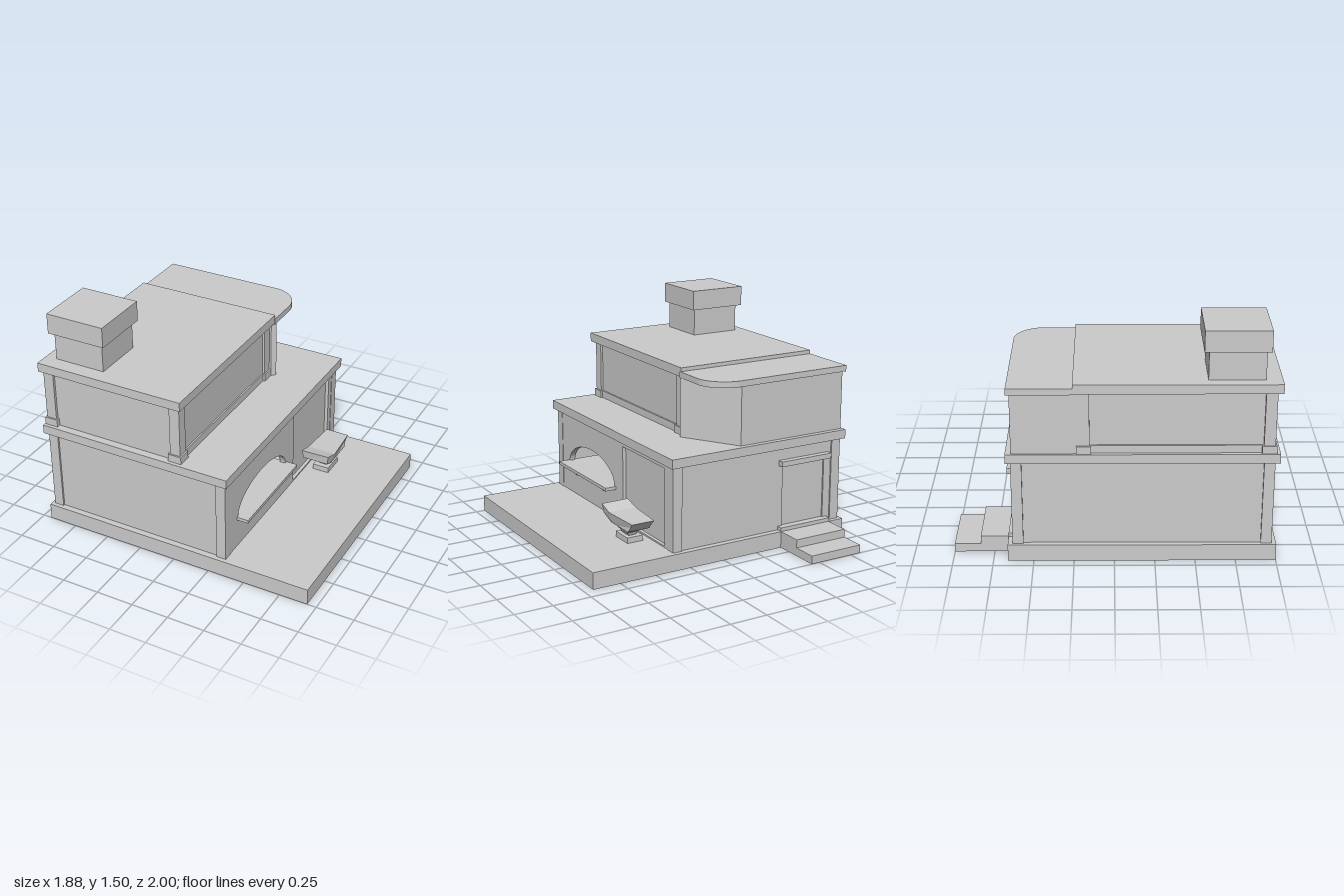
import * as THREE from 'three';

const material = new THREE.MeshStandardMaterial({ color: 0xcccccc, flatShading: true, side: THREE.DoubleSide });

export function createModel() {
  const model = new THREE.Group();
  model.name = 'building';

  const add = (name, geometry) => {
    const mesh = new THREE.Mesh(geometry, material);
    mesh.name = name;
    model.add(mesh);
    return mesh;
  };
  // Box given by its limits on each axis
  const box = (name, x0, x1, y0, y1, z0, z1) => {
    const g = new THREE.BoxGeometry(x1 - x0, y1 - y0, z1 - z0);
    g.translate((x0 + x1) / 2, (y0 + y1) / 2, (z0 + z1) / 2);
    return add(name, g);
  };
  const rectangle = (target, u0, u1, v0, v1) => {
    target.moveTo(u0, v0).lineTo(u1, v0).lineTo(u1, v1).lineTo(u0, v1).closePath();
    return target;
  };
  const extrude = (shape, depth) =>
    new THREE.ExtrudeGeometry(shape, { depth, bevelEnabled: false, curveSegments: 16 });
  // Floor plan (x, z) raised from y0 to y1
  const plan = (name, shape, y0, y1) =>
    add(name, extrude(shape, y1 - y0).rotateX(Math.PI / 2).translate(0, y1, 0));

  // Ground slab and back steps
  box('groundSlab', -0.94, 0.94, 0, 0.11, -0.66, 1);
  box('lowerStep', -0.825, -0.44, 0, 0.055, -1, -0.66);
  box('upperStep', -0.825, -0.44, 0, 0.11, -0.835, -0.66);

  // Lower storey: plain walls
  box('lowerFrontWall', -0.9, 0.33, 0.11, 0.67, 0.92, 0.96);
  box('lowerLeftSideWall', -0.905, -0.87, 0.11, 0.67, -0.61, 0.95);

  // Service wall with the arched hatch and the shop window (u = -z)
  const side = rectangle(new THREE.Shape(), -0.965, 0.625, 0.11, 0.67);
  const arch = new THREE.Path();
  arch.moveTo(-0.14, 0.33);
  arch.absellipse(-0.47, 0.33, 0.33, 0.163, 0, Math.PI, false);
  arch.closePath();
  side.holes.push(arch, rectangle(new THREE.Path(), -0.02, 0.52, 0.12, 0.635));
  add('serviceWall', extrude(side, 0.04).rotateY(Math.PI / 2).translate(0.318, 0, 0));
  box('shopWindow', 0.32, 0.335, 0.12, 0.635, -0.52, 0.02);

  // Back wall with a door recess
  const back = rectangle(new THREE.Shape(), -0.9, 0.33, 0.11, 0.67);
  back.holes.push(rectangle(new THREE.Path(), -0.8, -0.47, 0.125, 0.56));
  add('lowerBackWall', extrude(back, 0.03).translate(0, 0, -0.62));
  box('backDoor', -0.8, -0.47, 0.125, 0.56, -0.61, -0.595);
  box('doorCanopy', -0.83, -0.44, 0.55, 0.585, -0.66, -0.61);
  box('doorThreshold', -0.83, -0.44, 0.11, 0.135, -0.66, -0.61);

  // Lower corner pilasters
  for (const x of [-0.92, 0.295])
    for (const z of [-0.63, 0.905])
      box('lowerPilaster', x, x + 0.066, 0.11, 0.67, z, z + 0.067);

  // Oven inside the hatch
  box('ovenCounter', -0.1, 0.33, 0.29, 0.33, 0.12, 0.82);
  box('ovenBack', -0.14, -0.1, 0.29, 0.55, 0.1, 0.84);
  box('ovenBlock', -0.1, 0.08, 0.33, 0.39, 0.33, 0.82);

  // Serving shelf on two brackets
  box('servingShelf', 0.35, 0.435, 0.31, 0.332, 0.12, 0.815);
  const bracket = new THREE.Shape([[0.355, 0.26], [0.37, 0.26], [0.41, 0.31], [0.355, 0.31]]
    .map(p => new THREE.Vector2(...p)));
  for (const z of [0.26, 0.65]) add('shelfBracket', extrude(bracket, 0.032).translate(0, 0, z));

  // Floor slab of the upper storey
  box('terraceSlab', -0.94, 0.385, 0.67, 0.73, -0.66, 1);

  // Upper storey with corner pilasters, their feet and side skirtings
  box('upperRoom', -0.905, 0.035, 0.73, 1.125, -0.21, 0.95);
  for (const x of [-0.925, -0.02])
    for (const z of [-0.22, 0.897]) {
      box('upperPilaster', x, x + 0.07, 0.73, 1.125, z, z + 0.07);
      box('pilasterFoot', x - 0.01, x + 0.08, 0.73, 0.78, z - 0.01, z + 0.08);
    }
  for (const x of [-0.915, 0.03]) box('sideSkirting', x, x + 0.015, 0.73, 0.78, -0.15, 0.9);
  box('mainRoof', -0.94, 0.075, 1.125, 1.185, -0.25, 1);

  // Rear room with a slanted wall beneath a rounded canopy roof
  const rear = new THREE.Shape([[-0.925, -0.2], [-0.925, -0.625], [-0.14, -0.625],
    [0.085, -0.255], [0.06, -0.225], [0.03, -0.225]].map(p => new THREE.Vector2(...p)));
  plan('rearRoom', rear, 0.73, 1.12);
  const canopy = new THREE.Shape();
  canopy.moveTo(-0.94, -0.24).lineTo(-0.94, -0.645).lineTo(-0.12, -0.645);
  canopy.absarc(-0.12, -0.445, 0.2, -Math.PI / 2, 0, false);
  canopy.lineTo(0.08, -0.24).closePath();
  plan('rearRoof', canopy, 1.12, 1.16);

  // Chimney
  box('chimneyStack', -0.865, -0.52, 1.185, 1.37, 0.557, 0.9);
  box('chimneyCap', -0.895, -0.495, 1.37, 1.505, 0.527, 0.925);

  // Faceted basin: stacked six-sided rings, each corner as [x, y, z]
  const ring = (x0, x1, z0, z1, y) => [[x0, y, z1], [x1, y, z1], [x1, y, (z0 + 2 * z1) / 3],
    [x1, y, z0], [x0, y, z0], [x0, y, (z0 + 2 * z1) / 3]];
  const rings = [
    ring(0.445, 0.495, -0.3, -0.22, 0.145),
    ring(0.43, 0.51, -0.31, -0.21, 0.17),
    ring(0.42, 0.525, -0.34, -0.19, 0.19),
    ring(0.395, 0.55, -0.39, -0.17, 0.207),
    [[0.385, 0.25, -0.085], [0.56, 0.25, -0.085], [0.56, 0.225, -0.18],
      [0.545, 0.245, -0.42], [0.395, 0.245, -0.42], [0.38, 0.225, -0.18]],
    [[0.375, 0.31, -0.075], [0.568, 0.31, -0.08], [0.572, 0.28, -0.18],
      [0.55, 0.273, -0.445], [0.39, 0.273, -0.445], [0.375, 0.28, -0.18]],
  ];
  const index = [];
  for (let r = 0; r < rings.length - 1; r++)
    for (let i = 0; i < 6; i++) {
      const a = r * 6 + i, b = r * 6 + (i + 1) % 6;
      index.push(a, b, b + 6, a, b + 6, a + 6);
    }
  const t = (rings.length - 1) * 6;
  index.push(t, t + 1, t + 2, t, t + 2, t + 5, t + 5, t + 2, t + 3, t + 5, t + 3, t + 4);
  const basin = new THREE.BufferGeometry();
  basin.setAttribute('position', new THREE.Float32BufferAttribute(rings.flat(2), 3));
  basin.setIndex(index);
  basin.computeVertexNormals();
  add('basin', basin);
  box('basinFoot', 0.413, 0.525, 0.11, 0.147, -0.338, -0.183);

  return model;
}
